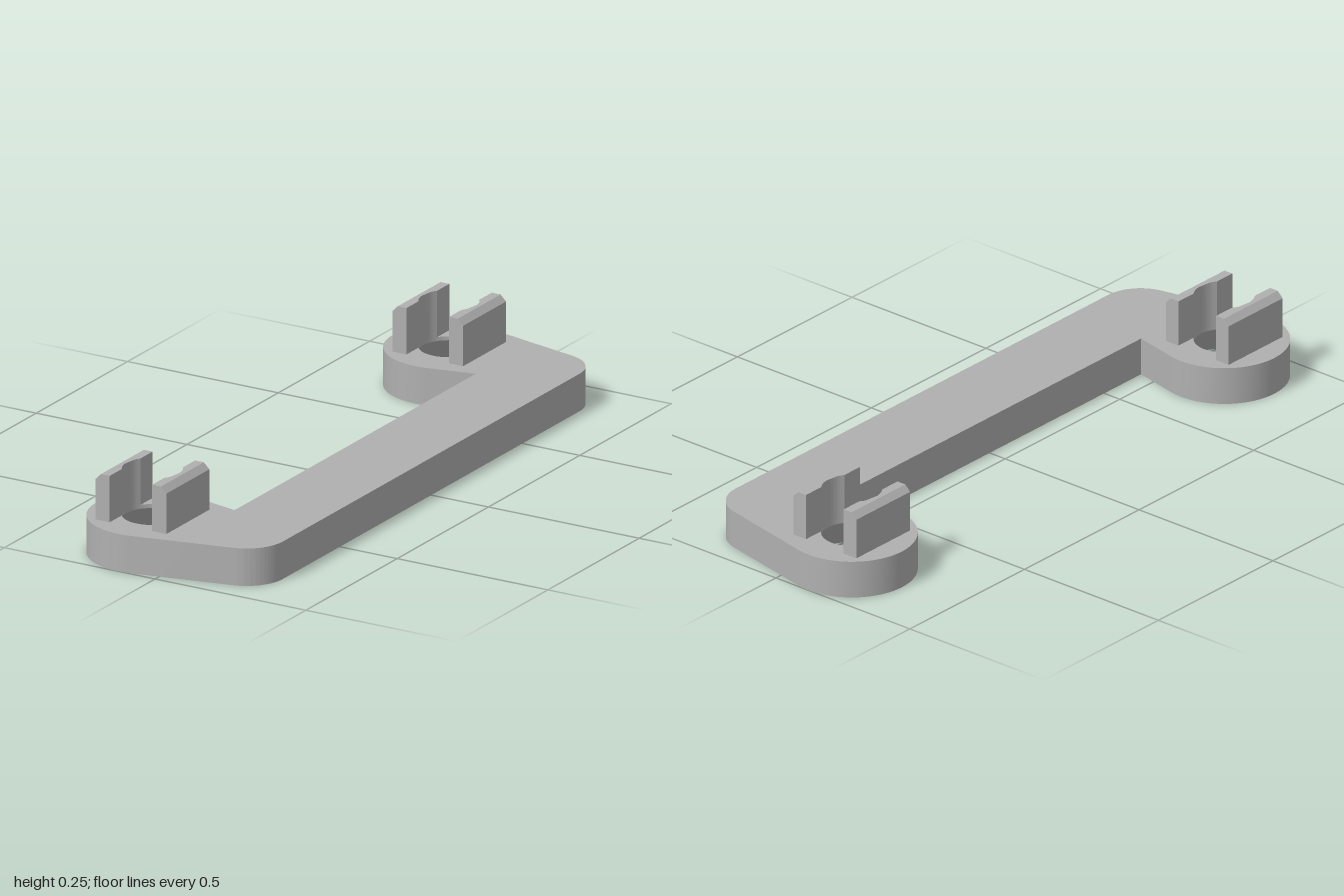
import * as THREE from 'three';
import { toCreasedNormals } from 'three/addons/utils/BufferGeometryUtils.js';

const H = 0.113;                       // plate thickness
const PX = -0.1225, PZ = 0.8125;       // pad centres at (PX, +-PZ)
const PAD_R = 0.1875, HOLE_R = 0.087, SINK_R = 0.165;
const CORNER_X = 0.19, CORNER_R = 0.12, BAR_X = 0.058;
const TILT = Math.asin((PAD_R - CORNER_R) / (CORNER_X - PX));

// C-shaped plan outline: bar, two round pads and tangent edges to rounded corners
function planShape(holeRadius) {
  const up = Math.PI / 2 - TILT, down = Math.PI * 1.5 + TILT;
  const inner = PZ - PAD_R * Math.cos(TILT) + (BAR_X - PX - PAD_R * Math.sin(TILT)) * Math.tan(TILT);
  const s = new THREE.Shape();
  s.moveTo(BAR_X, inner);
  s.lineTo(BAR_X, -inner);
  s.absarc(PX, -PZ, PAD_R, up, down, false);
  s.absarc(CORNER_X, -PZ, CORNER_R, down, Math.PI * 2, false);
  s.absarc(CORNER_X, PZ, CORNER_R, 0, up, false);
  s.absarc(PX, PZ, PAD_R, up, down, false);
  s.closePath();
  for (const z of [-PZ, PZ]) {
    s.holes.push(new THREE.Path().absarc(PX, z, holeRadius, 0, Math.PI * 2, true));
  }
  return s;
}

// Outer side wall following the plan outline
function wallGeometry() {
  const pts = planShape(HOLE_R).getPoints(24);
  const pos = [];
  pts.forEach((a, i) => {
    const b = pts[(i + 1) % pts.length];
    if (a.distanceTo(b) < 1e-6) return;
    pos.push(a.x, 0, -a.y, b.x, 0, -b.y, b.x, H, -b.y);
    pos.push(a.x, 0, -a.y, b.x, H, -b.y, a.x, H, -a.y);
  });
  const g = new THREE.BufferGeometry();
  g.setAttribute('position', new THREE.Float32BufferAttribute(pos, 3));
  return toCreasedNormals(g, 0.4);
}

// Upright prong with a round bite on its inner face and a chamfered outer top edge
function prongGeometry() {
  const inX = 0.0705, outX = 0.1175, half = 0.1175, height = 0.14, chamfer = 0.018;
  const ang = Math.acos(inX / HOLE_R);
  const s = new THREE.Shape();
  s.moveTo(inX, -half);
  s.lineTo(outX, -half);
  s.lineTo(outX, half);
  s.lineTo(inX, half);
  s.absarc(0, 0, HOLE_R, ang, -ang, true);
  s.closePath();
  const g = new THREE.ExtrudeGeometry(s, { depth: height, steps: 2, bevelEnabled: false, curveSegments: 10 });
  const p = g.attributes.position;
  for (let i = 0; i < p.count; i++) {
    const z = p.getZ(i);
    if (Math.abs(z - height / 2) < 1e-4) p.setZ(i, height - chamfer);
    if (z > height - 1e-4 && p.getX(i) > outX - 1e-4) p.setX(i, outX - chamfer);
  }
  g.rotateX(-Math.PI / 2);
  return toCreasedNormals(g, 0.4);
}

export function createModel() {
  const model = new THREE.Group();
  model.name = 'mountingBracket';
  const grey = new THREE.MeshStandardMaterial({ color: 0xb0b0b0, side: THREE.DoubleSide });
  grey.name = 'grey';

  const add = (parent, name, geometry) => {
    const mesh = new THREE.Mesh(geometry, grey);
    mesh.name = name;
    parent.add(mesh);
    return mesh;
  };

  // Plate
  const plate = new THREE.Group();
  plate.name = 'plate';
  model.add(plate);
  add(plate, 'plateTop', new THREE.ShapeGeometry(planShape(HOLE_R), 24).rotateX(-Math.PI / 2)).position.y = H;
  add(plate, 'plateBottom', new THREE.ShapeGeometry(planShape(SINK_R), 24).rotateX(Math.PI / 2));
  add(plate, 'plateWall', wallGeometry());

  // Countersunk holes and prongs on each pad
  const bore = toCreasedNormals(new THREE.LatheGeometry([
    new THREE.Vector2(HOLE_R, H),
    new THREE.Vector2(HOLE_R, H - 0.012),
    new THREE.Vector2(SINK_R, 0),
  ], 48), 0.4);
  const prong = prongGeometry();
  for (const [label, z] of [['front', PZ], ['back', -PZ]]) {
    const pad = new THREE.Group();
    pad.name = label + 'Clip';
    pad.position.set(PX, 0, z);
    model.add(pad);
    add(pad, label + 'CountersunkHole', bore);
    add(pad, label + 'LeftProng', prong).position.y = H;
    const right = add(pad, label + 'RightProng', prong);
    right.position.y = H;
    right.rotation.y = Math.PI;
  }
  return model;
}
